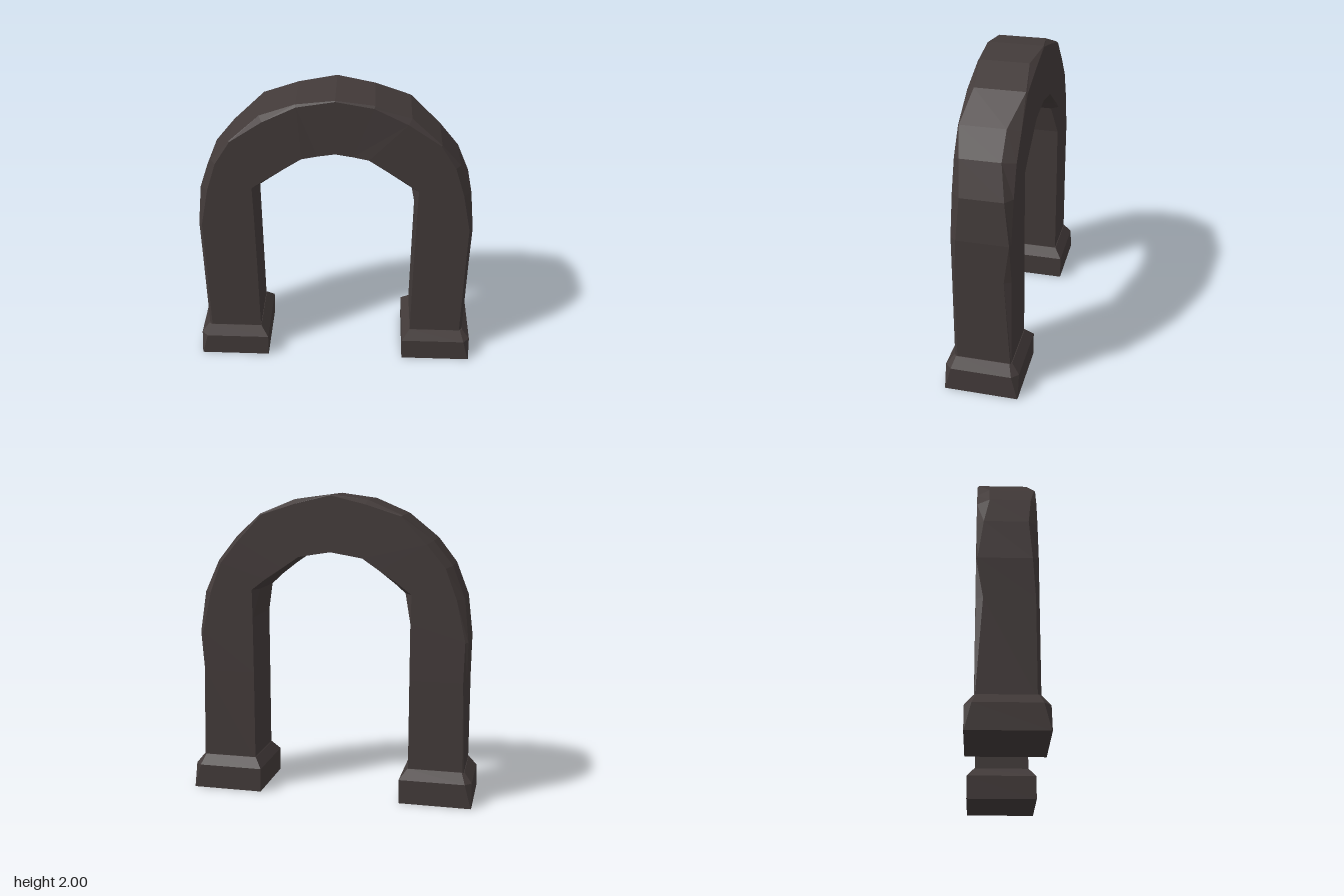
import * as THREE from 'three';

// Closed loft through rings of equal point count, capped at both ends
function loft(rings) {
  const n = rings[0].length, last = (rings.length - 1) * n;
  const index = [];
  for (let r = 0; r < rings.length - 1; r++) {
    for (let i = 0; i < n; i++) {
      const a = r * n + i, b = r * n + (i + 1) % n;
      index.push(a, b + n, b, a, a + n, b + n);
    }
  }
  for (let i = 1; i < n - 1; i++) {
    index.push(0, i, i + 1, last, last + i + 1, last + i);
  }
  const geo = new THREE.BufferGeometry();
  geo.setAttribute('position', new THREE.Float32BufferAttribute(rings.flat(2), 3));
  geo.setIndex(index);
  const flat = geo.toNonIndexed();
  flat.computeVertexNormals();
  return flat;
}

// Half the arch, foot to crown: outer x, y, inner x, y,
// front edge z and inset, back edge z and inset, inner edge chip
const STATIONS = [
  [0.89, 0.20, 0.525, 0.20, 0.165, 0.02, 0.180, 0.01, 0],
  [0.89, 0.82, 0.525, 0.82, 0.165, 0.02, 0.140, 0.02, 0],
  [0.895, 1.08, 0.525, 1.19, 0.150, 0.025, 0.175, 0.02, 0.002],
  [0.865, 1.35, 0.485, 1.38, 0.130, 0.05, 0.140, 0.05, 0.045],
  [0.78, 1.56, 0.42, 1.445, 0.150, 0.03, 0.105, 0.04, 0.015],
  [0.655, 1.715, 0.32, 1.525, 0.180, 0.006, 0.105, 0.04, 0],
  [0.465, 1.875, 0.21, 1.60, 0.140, 0.03, 0.175, 0.01, 0],
  [0.24, 1.968, 0.11, 1.617, 0.165, 0.015, 0.145, 0.03, 0],
  [0, 2.0, 0, 1.635, 0.172, 0.005, 0.180, 0.005, 0],
];

// Eight-sided section with worn corners; side mirrors it in x
function archRing([ox, oy, ix, iy, zf, inF, zb, inB, chip], side) {
  const len = Math.hypot(ix - ox, iy - oy);
  const at = (d, z) => [side * (ox + (ix - ox) * d / len), oy + (iy - oy) * d / len, z];
  const front = oy > 1.9 ? 0.178 : 0.186, back = -0.184;
  return [
    at(0, zf), at(inF, front),
    at(len - chip, front), at(len, front - chip),
    at(len, back + chip), at(len - chip, back),
    at(inB, back), at(0, -zb),
  ];
}

// Plinth section: outer corners cut by c
function plinthRing([y, x0, x1, z, c], side) {
  const ring = [
    [x1, y, z - c], [x1 - c, y, z], [x0, y, z],
    [x0, y, -z], [x1 - c, y, -z], [x1, y, -z + c],
  ].map(([x, py, pz]) => [side * x, py, pz]);
  return side > 0 ? ring : ring.reverse();
}

export function createModel() {
  const stone = new THREE.MeshStandardMaterial({ color: 0x423a39 });
  stone.name = 'darkStone';
  const group = new THREE.Group();
  group.name = 'stoneArch';
  const add = (name, rings) => {
    const mesh = new THREE.Mesh(loft(rings), stone);
    mesh.name = name;
    group.add(mesh);
  };

  // Arch swept from the left foot over the crown to the right foot
  add('arch', [
    ...STATIONS.map((s) => archRing(s, 1)),
    ...STATIONS.slice(0, -1).reverse().map((s) => archRing(s, -1)),
  ]);

  // Plinths with a sloped top
  const plinth = [
    [0, 0.475, 0.948, 0.238, 0.003],
    [0.16, 0.472, 0.945, 0.238, 0.042],
    [0.225, 0.522, 0.893, 0.188, 0.015],
  ];
  for (const [name, side] of [['leftPlinth', 1], ['rightPlinth', -1]]) {
    add(name, plinth.map((p) => plinthRing(p, side)));
  }
  return group;
}
